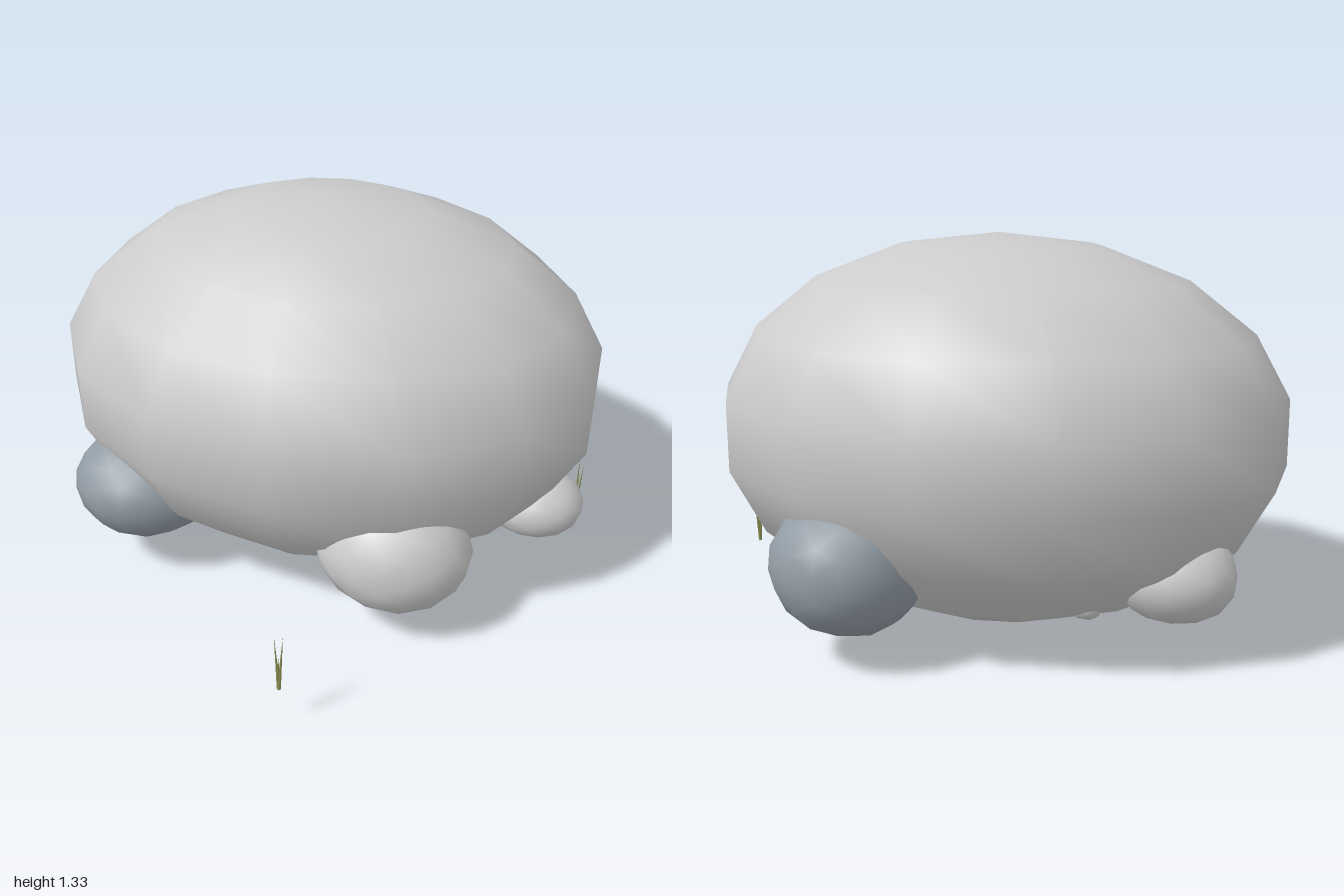
import * as THREE from 'three';
import { mergeVertices } from 'three/addons/utils/BufferGeometryUtils.js';

const stone = new THREE.MeshStandardMaterial({ color: 0xcccccc });
const slate = new THREE.MeshStandardMaterial({ color: 0x929ca4 });
const grass = new THREE.MeshStandardMaterial({ color: 0x8f9455, side: THREE.DoubleSide });

// Smooth rounded stone: an ellipsoid with a gentle uneven swell
function rock(name, position, radii, material, seed, detail = 2) {
  let geo = new THREE.IcosahedronGeometry(1, detail);
  geo.deleteAttribute('uv');
  geo.deleteAttribute('normal');
  geo = mergeVertices(geo, 1e-4);
  const p = geo.attributes.position;
  const v = new THREE.Vector3();
  for (let i = 0; i < p.count; i++) {
    v.fromBufferAttribute(p, i);
    const swell = 1 + 0.025 * Math.sin(3 * v.x + seed) + 0.025 * Math.sin(3.4 * v.y + 2 * v.z + seed * 2);
    p.setXYZ(i, v.x * swell * radii[0], v.y * swell * radii[1], v.z * swell * radii[2]);
  }
  geo.computeVertexNormals();
  const mesh = new THREE.Mesh(geo, material);
  mesh.name = name;
  mesh.position.set(...position);
  return mesh;
}

// Tuft of thin blades leaning out from one root
function grassTuft(name, position, leans) {
  const tuft = new THREE.Group();
  tuft.name = name;
  for (const [leanX, leanZ, height] of leans) {
    const geo = new THREE.ConeGeometry(0.007, height, 4);
    geo.translate(0, height / 2, 0);
    const blade = new THREE.Mesh(geo, grass);
    blade.name = 'grassBlade';
    blade.rotation.set(leanZ, 0, -leanX);
    tuft.add(blade);
  }
  tuft.position.set(...position);
  return tuft;
}

export function createModel() {
  const model = new THREE.Group();
  model.name = 'boulderCluster';

  // Large central boulder
  const bodyGeo = new THREE.SphereGeometry(1, 14, 9);
  bodyGeo.rotateY(Math.PI / 2);
  bodyGeo.scale(1.012, 0.663, 0.81);
  const body = new THREE.Mesh(bodyGeo, stone);
  body.name = 'mainBoulder';
  body.position.set(0, 0.668, -0.16);
  model.add(body);

  // Stones leaning against its foot
  model.add(
    rock('frontLeftRock', [0.375, 0.305, 0.39], [0.275, 0.215, 0.225], stone, 1),
    rock('frontRightRock', [-0.585, 0.32, 0.27], [0.275, 0.19, 0.25], slate, 2.2),
    rock('backRock', [0.31, 0.31, -0.725], [0.265, 0.22, 0.27], slate, 3.1),
    rock('leftRock', [0.81, 0.27, -0.06], [0.17, 0.12, 0.17], stone, 4.3),
    rock('backRightRock', [-0.68, 0.28, -0.4], [0.195, 0.16, 0.19], stone, 5.2),
  );

  // Pebbles
  model.add(
    rock('frontPebble', [0.22, 0.19, 0.42], [0.05, 0.055, 0.05], stone, 1.4, 1),
    rock('backPebble', [-0.41, 0.175, -0.5], [0.06, 0.045, 0.055], stone, 2.7, 1),
  );

  // Grass tufts
  model.add(
    grassTuft('frontGrass', [0.15, 0.15, 0.988], [[-0.05, 0.01, 0.22], [0.075, -0.01, 0.22], [0.01, 0.02, 0.14]]),
    grassTuft('leftGrass', [0.955, 0.15, -0.198], [[-0.02, 0.05, 0.24], [0.06, -0.06, 0.2], [0, 0.01, 0.14]]),
  );

  return model;
}
